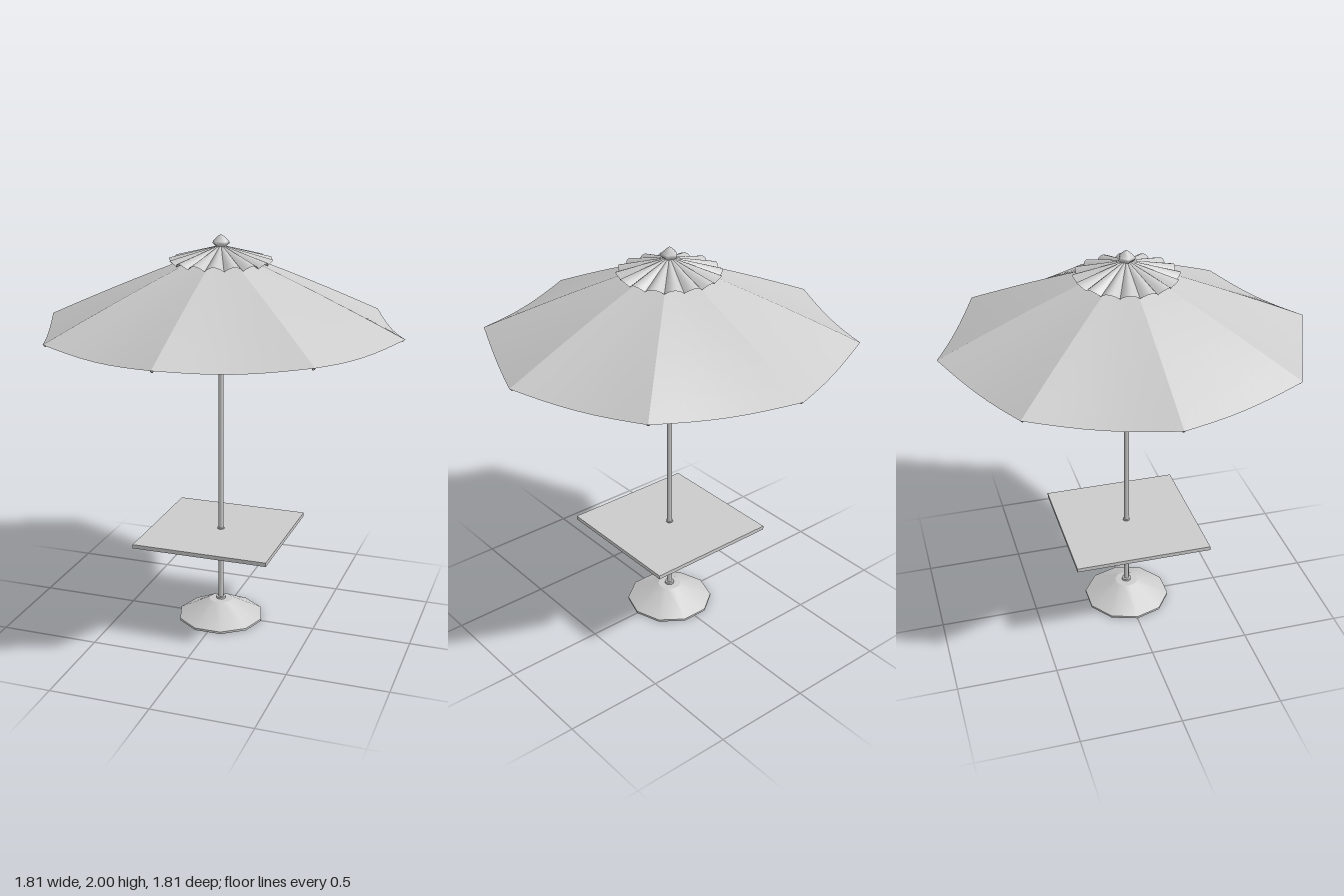
import * as THREE from 'three';

const material = new THREE.MeshStandardMaterial({ color: 0xcccccc });
const fabric = new THREE.MeshStandardMaterial({ color: 0xcccccc, side: THREE.DoubleSide });

const SIDES = 8, RADIUS = 0.905, PLEATS = 16;

// Height of a canopy ridge at fraction t from centre to tip
const ridgeY = t => 1.935 - 0.38 * Math.pow(t, 1.1);

function addMesh(parent, name, geometry, mat = material) {
  const mesh = new THREE.Mesh(geometry, mat);
  mesh.name = name;
  parent.add(mesh);
  return mesh;
}

// Grid surface from a rule (u, v) -> [x, y, z]; faces up when u turns from +x to -z and v runs outward
function surface(nu, nv, rule) {
  const pos = [], index = [];
  for (let j = 0; j <= nv; j++)
    for (let i = 0; i <= nu; i++) pos.push(...rule(i / nu, j / nv));
  for (let j = 0; j < nv; j++)
    for (let i = 0; i < nu; i++) {
      const a = j * (nu + 1) + i, b = a + nu + 1;
      index.push(a, b, a + 1, b, b + 1, a + 1);
    }
  const g = new THREE.BufferGeometry();
  g.setAttribute('position', new THREE.Float32BufferAttribute(pos, 3));
  g.setIndex(index);
  g.computeVertexNormals();
  return g;
}

// Round bar between two points
function bar(parent, name, from, to, radius) {
  const dir = to.clone().sub(from);
  const mesh = addMesh(parent, name, new THREE.CylinderGeometry(radius, radius, dir.length(), 8));
  mesh.position.copy(from).add(to).multiplyScalar(0.5);
  mesh.quaternion.setFromUnitVectors(new THREE.Vector3(0, 1, 0), dir.normalize());
}

// Turned part; repeated profile points give sharp edges
function lathe(parent, name, points, sides) {
  return addMesh(parent, name, new THREE.LatheGeometry(points.map(p => new THREE.Vector2(...p)), sides));
}

export function createModel() {
  const model = new THREE.Group();
  model.name = 'patioUmbrella';

  // Weighted base with ten sides
  const base = new THREE.Group();
  base.name = 'base';
  model.add(base);
  lathe(base, 'baseBody', [[0, 0], [0.222, 0], [0.222, 0], [0.222, 0.011], [0.222, 0.011],
    [0.06, 0.097], [0.06, 0.097], [0, 0.1]], 10).rotation.y = Math.PI / 2;
  addMesh(base, 'baseCollar', new THREE.CylinderGeometry(0.024, 0.024, 0.035, 12)).position.y = 0.092;

  // Pole
  bar(model, 'pole', new THREE.Vector3(0, 0.08, 0), new THREE.Vector3(0, 1.94, 0), 0.0135);

  // Square table
  const table = new THREE.Group();
  table.name = 'table';
  model.add(table);
  addMesh(table, 'tableTop', new THREE.BoxGeometry(0.692, 0.02, 0.692)).position.y = 0.481;
  addMesh(table, 'tableCollar', new THREE.CylinderGeometry(0.018, 0.018, 0.012, 12)).position.y = 0.49;

  // Sliding hub and top hub
  lathe(model, 'runnerHub', [[0, 1.495], [0.017, 1.495], [0.017, 1.495], [0.017, 1.53], [0.017, 1.53],
    [0.025, 1.535], [0.025, 1.535], [0.025, 1.553], [0.025, 1.553], [0, 1.553]], 12);
  addMesh(model, 'topHub', new THREE.CylinderGeometry(0.025, 0.025, 0.03, 12)).position.y = 1.9;

  // Canopy panels, ribs and struts
  const canopy = new THREE.Group(), frame = new THREE.Group();
  canopy.name = 'canopy';
  frame.name = 'frame';
  model.add(canopy, frame);
  for (let k = 0; k < SIDES; k++) {
    const a = k / SIDES * Math.PI * 2, b = (k + 1) / SIDES * Math.PI * 2;
    addMesh(canopy, 'canopyPanel', surface(8, 8, (u, v) => {
      const t = 0.01 + 0.99 * v, r = RADIUS * t;
      const x = r * THREE.MathUtils.lerp(Math.cos(a), Math.cos(b), u);
      const z = -r * THREE.MathUtils.lerp(Math.sin(a), Math.sin(b), u);
      return [x, ridgeY(t) - 0.022 * t * t * Math.sin(Math.PI * u), z];
    }), fabric);

    const onRib = (t, drop) => new THREE.Vector3(
      Math.cos(a) * RADIUS * t, ridgeY(t) - drop, -Math.sin(a) * RADIUS * t);
    for (const [s, e] of [[0.02, 0.35], [0.35, 0.68], [0.68, 0.99]])
      bar(frame, 'rib', onRib(s, 0.01), onRib(e, 0.01), 0.007);
    bar(frame, 'strut', new THREE.Vector3(Math.cos(a) * 0.018, 1.543, -Math.sin(a) * 0.018),
      onRib(0.44, 0.012), 0.006);
  }

  // Pleated vent cap, one rounded flute at a time
  const cap = new THREE.Group();
  cap.name = 'ventCap';
  model.add(cap);
  for (let k = 0; k < PLEATS; k++) {
    addMesh(cap, 'ventPleat', surface(6, 4, (u, v) => {
      const angle = (k + u) / PLEATS * Math.PI * 2, bulge = Math.sin(Math.PI * u);
      const r = 0.015 + v * (0.217 + 0.02 * bulge);
      const y = 1.945 - 0.087 * v + 0.024 * v * bulge;
      return [r * Math.cos(angle), y, -r * Math.sin(angle)];
    }), fabric);
  }

  // Finial with five sides
  lathe(model, 'finial', [[0, 1.925], [0.024, 1.93], [0.028, 1.943], [0.043, 1.955],
    [0.04, 1.967], [0.015, 1.99], [0, 2]], 5).rotation.y = -Math.PI / 2;

  return model;
}
